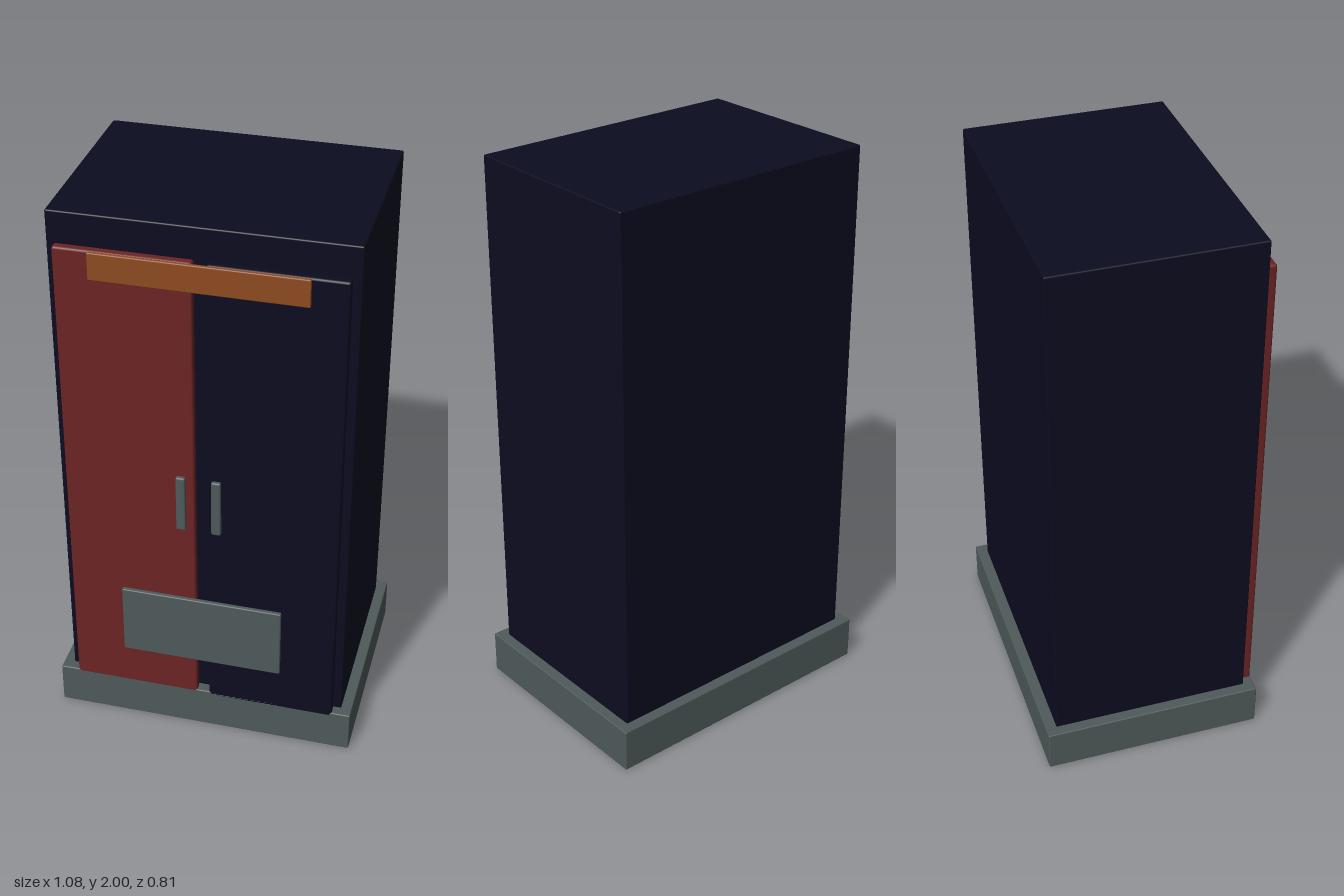
import * as THREE from 'three';
import { RoundedBoxGeometry } from 'three/addons/geometries/RoundedBoxGeometry.js';

const material = (name, color) => {
  const m = new THREE.MeshStandardMaterial({ color });
  m.name = name;
  return m;
};

export function createModel() {
  const navy = material('navy', 0x0c0c20);
  const red = material('dark red', 0x6c2424);
  const grey = material('slate grey', 0x4f5a5a);
  const orange = material('burnt orange', 0x8e4a20);

  const model = new THREE.Group();
  model.name = 'cabinet';

  // Softly edged box given by its extents on each axis
  const box = (name, mat, [x0, x1], [y0, y1], [z0, z1], radius) => {
    const geometry = new RoundedBoxGeometry(x1 - x0, y1 - y0, z1 - z0, 2, radius);
    const mesh = new THREE.Mesh(geometry, mat);
    mesh.name = name;
    mesh.position.set((x0 + x1) / 2, (y0 + y1) / 2, (z0 + z1) / 2);
    model.add(mesh);
  };

  // Carcass and plinth; the carcass floor shows inside the plinth's underside
  box('body', navy, [-0.5, 0.5], [0, 2], [-0.367, 0.337], 0.005);
  box('plinth', grey, [-0.538, 0.538], [0.002, 0.158], [-0.406, 0.374], 0.004);

  // Doors, standing just clear of the carcass
  box('rightDoor', red, [-0.472, -0.022], [0.14, 1.895], [0.342, 0.374], 0.008);
  box('leftDoor', navy, [0.022, 0.472], [0.14, 1.895], [0.342, 0.374], 0.008);

  // Handles
  box('rightHandle', grey, [-0.079, -0.046], [0.897, 1.11], [0.388, 0.406], 0.006);
  box('leftHandle', grey, [0.042, 0.075], [0.897, 1.11], [0.388, 0.406], 0.006);

  // Top sign board and lower plate across both doors
  box('signBoard', orange, [-0.353, 0.353], [1.8, 1.896], [0.375, 0.389], 0.004);
  box('lowerPlate', grey, [-0.284, 0.284], [0.32, 0.59], [0.379, 0.396], 0.004);

  return model;
}
